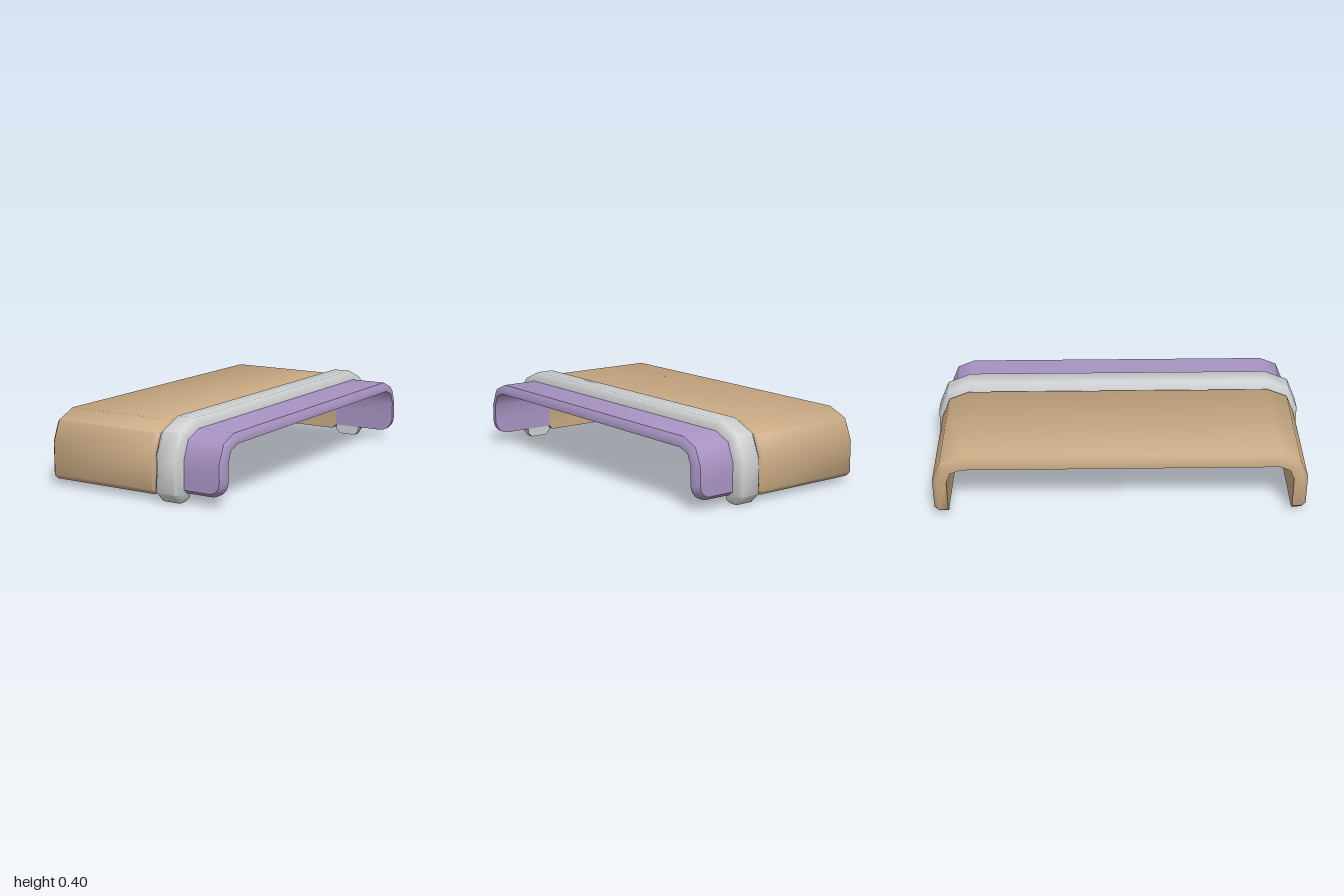
import * as THREE from 'three';
import { toCreasedNormals } from 'three/addons/utils/BufferGeometryUtils.js';

const BEND_Z = 0.82, BEND_Y = 0.22; // centre shared by all bends
const INNER = 0.08;                 // radius of the inside face

// Sweeps six-point sections of [x, radius, y] up one leg, over the top and down the other.
function archGeometry(legSections, bendSection, crease) {
  const side = (s) => {
    const rings = legSections.map((sec) => sec.map(([x, r, y]) => [x, y, s * (BEND_Z + r)]));
    for (const t of [0, Math.PI / 4, Math.PI / 2]) {
      rings.push(bendSection.map(([x, r]) =>
        [x, BEND_Y + r * Math.sin(t), s * (BEND_Z + r * Math.cos(t))]));
    }
    return rings;
  };
  const rings = [...side(1), ...side(-1).reverse()];
  const index = [];
  const quad = (a, b, c, d) => index.push(a, b, c, a, c, d);
  for (let i = 0; i < rings.length - 1; i++) {
    for (let j = 0; j < 6; j++) {
      const k = (j + 1) % 6, o = i * 6, n = o + 6;
      quad(o + j, o + k, n + k, n + j);
    }
  }
  // feet
  const e = (rings.length - 1) * 6;
  quad(0, 5, 4, 1);
  quad(1, 4, 3, 2);
  quad(e, e + 1, e + 4, e + 5);
  quad(e + 1, e + 2, e + 3, e + 4);
  const g = new THREE.BufferGeometry();
  g.setAttribute('position', new THREE.Float32BufferAttribute(rings.flat(2), 3));
  g.setIndex(index);
  return toCreasedNormals(g, crease);
}

// Arch with chamfered side edges and feet
function chamferedArch({ x0, x1, inner, edge, outer, c, footY, edgeY, outerY }) {
  const section = (ya, yb) => [
    [x0, inner, ya], [x0, edge, yb], [x0 + c, outer, yb],
    [x1 - c, outer, yb], [x1, edge, yb], [x1, inner, ya],
  ];
  const a = x0 + c, b = x1 - c, r = 0.13;
  const foot = [
    [a, inner, footY], [a, r, footY], [a, r, footY],
    [b, r, footY], [b, r, footY], [b, inner, footY],
  ];
  return archGeometry([foot, section(edgeY, outerY)], section(0, 0), 0.9);
}

// Arch with rounded lower corners on one side and a bevelled rim
function roundedArch() {
  const x0 = 0.14, R = 0.08, rim = 0.02, cx = 0.43, cy = 0.13;
  const section = (phi) => {
    const c = Math.cos(phi), s = Math.sin(phi);
    const xi = cx + R * c, yi = cy - R * s;
    const xo = cx + (R - rim) * c, yo = cy - (R - rim) * s;
    return [
      [x0, INNER, yi], [x0, 0.105, yi], [x0, 0.13, yo],
      [xo, 0.13, yo], [xi, 0.105, yi], [xi, INNER, yi],
    ];
  };
  const legs = [];
  for (let i = 0; i <= 8; i++) legs.push(section((1 - i / 8) * Math.PI / 2));
  return archGeometry(legs, section(0), 0.82);
}

export function createModel() {
  const model = new THREE.Group();
  model.name = 'foldedCover';
  const material = (name, color) => {
    const m = new THREE.MeshStandardMaterial({ color });
    m.name = name;
    return m;
  };
  const add = (name, geometry, mat) => {
    const mesh = new THREE.Mesh(geometry, mat);
    mesh.name = name;
    model.add(mesh);
  };

  // wide blanket
  add('blanket', chamferedArch({
    x0: -0.51, x1: 0.14, inner: INNER, edge: 0.13, outer: 0.155, c: 0.023,
    footY: 0.027, edgeY: 0.05, outerY: 0.05,
  }), material('tan', 0xc8a983));

  // raised fold
  add('foldBand', chamferedArch({
    x0: 0.143, x1: 0.29, inner: INNER + 0.001, edge: 0.155, outer: 0.18, c: 0.025,
    footY: 0, edgeY: 0.025, outerY: 0.05,
  }), material('light grey', 0xcdcfd0));

  // sheet under the fold
  add('sheet', roundedArch(), material('lavender', 0xa893c2));
  return model;
}
